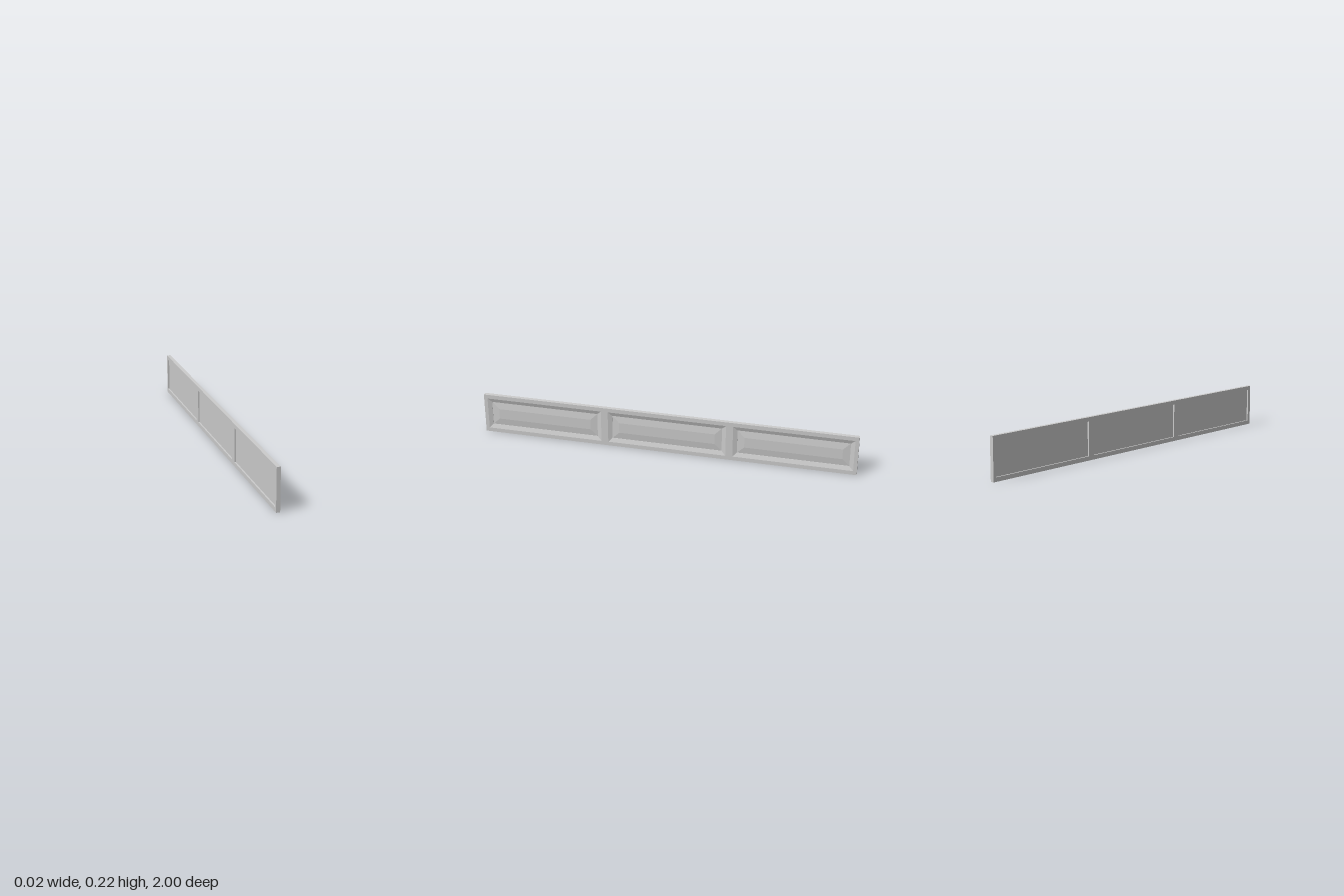
import * as THREE from 'three';

const LENGTH = 2, HEIGHT = 0.222, HALF = 0.01;
const MID_Y = HEIGHT / 2, OPEN_H = 0.178;
// openings along the length: centre z and width
const OPENINGS = [
  { z: 0.667, w: 0.628 },
  { z: 0, w: 0.632 },
  { z: -0.667, w: 0.628 },
];
const material = new THREE.MeshStandardMaterial({ color: 0xcccccc, flatShading: true });

// Corners of an inset opening at depth x, counter-clockwise seen from +x
function ring({ z, w }, inset, x) {
  const a = w / 2 - inset, b = OPEN_H / 2 - inset;
  return [[a, -b], [-a, -b], [-a, b], [a, b]].map(([dz, dy]) => [x, MID_Y + dy, z + dz]);
}

// Mitred surface through a series of rectangular rings, optionally capped
function ringSurface(rings, cap) {
  const pos = [];
  const quad = (a, b, c, d) => pos.push(...a, ...b, ...c, ...a, ...c, ...d);
  for (let r = 0; r < rings.length - 1; r++) {
    for (let i = 0; i < 4; i++) {
      const j = (i + 1) % 4;
      quad(rings[r][i], rings[r][j], rings[r + 1][j], rings[r + 1][i]);
    }
  }
  if (cap) quad(...rings[rings.length - 1]);
  const geo = new THREE.BufferGeometry();
  geo.setAttribute('position', new THREE.Float32BufferAttribute(pos, 3));
  geo.computeVertexNormals();
  return geo;
}

function add(group, name, geometry) {
  const mesh = new THREE.Mesh(geometry, material);
  mesh.name = name;
  group.add(mesh);
}

export function createModel() {
  const model = new THREE.Group();
  model.name = 'panelledBoard';

  // Frame: rails, stiles and mullions as one slab with three openings
  const rect = (path, u, v, w, h) => path
    .moveTo(u - w / 2, v - h / 2).lineTo(u + w / 2, v - h / 2)
    .lineTo(u + w / 2, v + h / 2).lineTo(u - w / 2, v + h / 2).closePath();
  const outline = rect(new THREE.Shape(), 0, MID_Y, LENGTH, HEIGHT);
  for (const o of OPENINGS) outline.holes.push(rect(new THREE.Path(), -o.z, MID_Y, o.w, OPEN_H));
  const frame = new THREE.ExtrudeGeometry(outline, { depth: 2 * HALF, bevelEnabled: false });
  frame.translate(0, 0, -HALF).rotateY(Math.PI / 2);
  add(model, 'frame', frame);

  for (const o of OPENINGS) {
    const bay = new THREE.Group();
    bay.name = 'bay';
    // Sloped moulding down to the panel, with a small lip
    add(bay, 'moulding', ringSurface([ring(o, 0, HALF), ring(o, 0.022, 0.002), ring(o, 0.022, 0)], false));
    // Raised panel with a shallow bevelled border
    add(bay, 'raisedPanel', ringSurface([ring(o, 0.022, 0), ring(o, 0.06, 0.005)], true));
    // Flat recessed back
    add(bay, 'panelBack', ringSurface([ring(o, 0, -0.002).reverse()], true));
    model.add(bay);
  }
  return model;
}
